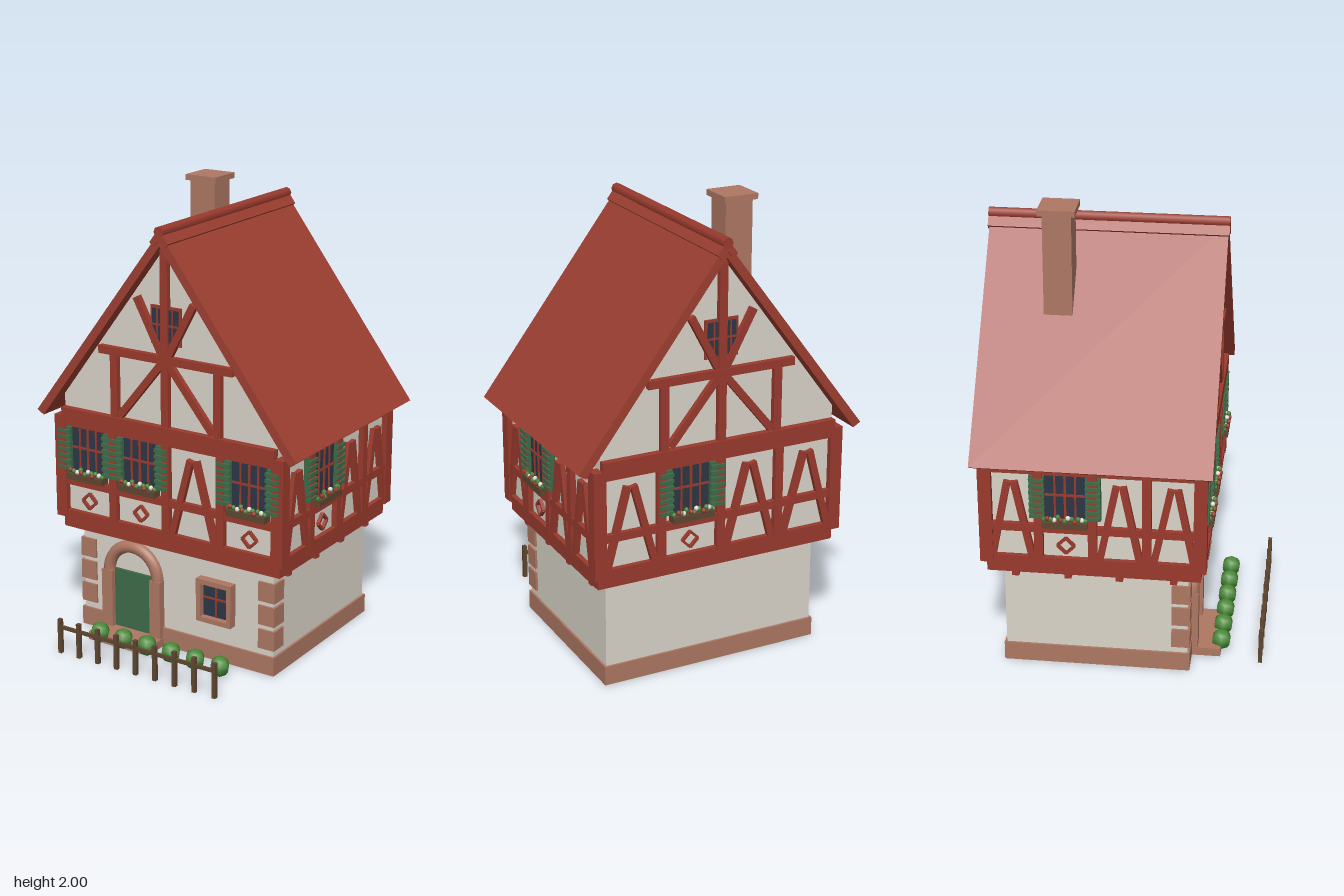
import * as THREE from 'three';

const mat = (name, color) => {
  const m = new THREE.MeshStandardMaterial({ color });
  m.name = name;
  return m;
};

export function createModel() {
  const plaster = mat('plaster', 0xd9d4c9), timber = mat('timber red', 0x9a3a2d);
  const roofRed = mat('roof red', 0x9e3f31), stone = mat('stone', 0xad7762);
  const paint = mat('green paint', 0x3f6b48), glass = mat('dark glass', 0x2c3645);
  const wood = mat('brown wood', 0x5e4630), leaf = mat('leaf green', 0x4a8a38);
  const petal = mat('white petal', 0xe6e0dc);

  const house = new THREE.Group();
  house.name = 'timberFramedHouse';

  const add = (parent, name, geo, m, x = 0, y = 0, z = 0) => {
    const mesh = new THREE.Mesh(geo, m);
    mesh.name = name;
    mesh.position.set(x, y, z);
    parent.add(mesh);
    return mesh;
  };
  // Box given by its lower and upper limits on each axis
  const box = (parent, name, m, x0, x1, y0, y1, z0, z1) =>
    add(parent, name, new THREE.BoxGeometry(x1 - x0, y1 - y0, z1 - z0), m,
      (x0 + x1) / 2, (y0 + y1) / 2, (z0 + z1) / 2);
  // Sloping beam on a wall, from point to point
  const beam = (parent, name, x0, y0, x1, y1, w, d = 0.022) => {
    const b = add(parent, name, new THREE.BoxGeometry(Math.hypot(x1 - x0, y1 - y0), w, d), timber,
      (x0 + x1) / 2, (y0 + y1) / 2, d / 2);
    b.rotation.z = Math.atan2(y1 - y0, x1 - x0);
  };
  const prism = (parent, name, m, pts, z0, z1) => {
    const shape = new THREE.Shape(pts.map(p => new THREE.Vector2(...p)));
    return add(parent, name, new THREE.ExtrudeGeometry(shape, { depth: z1 - z0, bevelEnabled: false }), m, 0, 0, z0);
  };
  const group = (parent, name, x = 0, y = 0, z = 0, turn = 0) => {
    const g = new THREE.Group();
    g.name = name;
    g.position.set(x, y, z);
    g.rotation.y = turn;
    parent.add(g);
    return g;
  };

  // Ground floor with plinth, corner stones and joists
  box(house, 'groundWalls', plaster, -0.495, 0.495, 0.02, 0.49, -0.495, 0.295);
  box(house, 'plinth', stone, -0.505, 0.505, 0, 0.085, -0.505, 0.305);
  for (const s of [-1, 1])
    for (const y of [0.16, 0.27, 0.378])
      add(house, 'cornerStone', new THREE.BoxGeometry(0.08, 0.088, 0.08), stone, s * 0.465, y, 0.265);
  for (const z of [0.235, 0.005, -0.215, -0.44])
    box(house, 'joist', timber, -0.54, 0.54, 0.45, 0.485, z - 0.015, z + 0.015);
  box(house, 'jettyBeam', timber, -0.557, 0.557, 0.48, 0.54, -0.557, 0.352);

  // Arched door with step
  const door = group(house, 'door', -0.22, 0, 0.295);
  box(door, 'doorLeaf', paint, -0.1, 0.1, 0.03, 0.313, 0, 0.012);
  for (const s of [-1, 1])
    add(door, 'doorPost', new THREE.BoxGeometry(0.056, 0.305, 0.05), stone, s * 0.128, 0.1525, 0.01);
  add(door, 'doorArch', new THREE.TorusGeometry(0.128, 0.028, 10, 24, Math.PI), stone, 0, 0.305, 0.008);
  box(door, 'doorStep', stone, -0.16, 0.16, 0, 0.038, 0, 0.135);

  // Ground floor window
  const low = group(house, 'groundWindow', 0.217, 0.28, 0.295);
  box(low, 'windowGlass', glass, -0.07, 0.07, -0.08, 0.08, 0, 0.012);
  for (const s of [-1, 1]) {
    add(low, 'windowJamb', new THREE.BoxGeometry(0.022, 0.196, 0.04), stone, s * 0.077, 0, 0.02);
    add(low, 'windowRail', new THREE.BoxGeometry(0.132, 0.022, 0.04), stone, 0, s * 0.087, 0.02);
  }
  add(low, 'windowBar', new THREE.BoxGeometry(0.008, 0.155, 0.018), timber, 0, 0, 0.009);
  add(low, 'windowBar', new THREE.BoxGeometry(0.135, 0.008, 0.018), timber, 0, 0.01, 0.009);

  // Upper floor and gable walls
  box(house, 'upperWalls', plaster, -0.555, 0.555, 0.535, 1.0, -0.555, 0.35);
  prism(house, 'gableWalls', plaster,
    [[-0.54, 0.99], [0.54, 0.99], [0.54, 1.1], [0, 1.82], [-0.54, 1.1]], -0.555, 0.35);

  const flower = new THREE.SphereGeometry(0.011, 6, 5);
  const shutteredWindow = (parent, x) => {
    const w = group(parent, 'shutteredWindow', x);
    box(w, 'glass', glass, -0.085, 0.085, 0.755, 0.955, 0, 0.009);
    for (const s of [-1, 1]) {
      box(w, 'sash', timber, s * 0.043 - 0.004, s * 0.043 + 0.004, 0.755, 0.955, 0, 0.014);
      box(w, 'shutter', paint, s * 0.118 - 0.032, s * 0.118 + 0.032, 0.757, 0.955, 0, 0.02);
      for (let i = 0; i < 7; i++)
        box(w, 'slat', paint, s * 0.118 - 0.032, s * 0.118 + 0.032, 0.762 + i * 0.028, 0.777 + i * 0.028, 0.01, 0.032);
    }
    box(w, 'mullion', timber, -0.005, 0.005, 0.755, 0.955, 0, 0.015);
    box(w, 'transom', timber, -0.085, 0.085, 0.862, 0.871, 0, 0.015);
    // Flower box
    box(w, 'flowerBox', wood, -0.095, 0.095, 0.725, 0.753, 0, 0.048);
    for (let i = 0; i < 13; i++)
      add(w, 'flower', flower, [leaf, timber, leaf, petal][i % 4],
        -0.087 + i * 0.0145, 0.76 + (i * 5 % 3) * 0.006, 0.03 + (i * 7 % 4) * 0.005);
    // Diamond below
    const d = 0.036, c = 0.625;
    [[d, 0, 0, d], [0, d, -d, 0], [-d, 0, 0, -d], [0, -d, d, 0]].forEach(([a, b, e, f]) =>
      beam(w, 'diamond', a, c + b, e, c + f, 0.011, 0.015));
  };

  // Timber frame of four bays on one wall
  const facade = (name, width, windows, x, z, turn) => {
    const f = group(house, name, x, 0, z, turn);
    const h = width / 2, bay = width / 4;
    for (const [y0, y1] of [[0.535, 0.57], [0.69, 0.725], [0.962, 1.0]])
      box(f, 'rail', timber, -h, h, y0, y1, 0, 0.022);
    for (let i = 1; i < 4; i++)
      box(f, 'post', timber, i * bay - h - 0.019, i * bay - h + 0.019, 0.56, 0.97, 0, 0.025);
    for (let i = 0; i < 4; i++) {
      const c = (i + 0.5) * bay - h;
      if (windows.includes(i)) { shutteredWindow(f, c); continue; }
      for (const s of [-1, 1])
        beam(f, 'brace', c + s * (bay / 2 - 0.028), 0.56, c + s * 0.014, 0.92, 0.03);
    }
    return f;
  };
  const front = facade('frontFrame', 1.1, [0, 1, 3], 0, 0.35, 0);
  const back = facade('backFrame', 1.1, [1], 0, -0.555, Math.PI);
  facade('leftFrame', 0.91, [1], 0.555, -0.1025, Math.PI / 2);
  facade('rightFrame', 0.91, [1], -0.555, -0.1025, -Math.PI / 2);
  // Back window sits in the second bay from the +x corner, as does each side's own
  const sideR = house.getObjectByName('rightFrame');
  house.remove(sideR);
  facade('rightFrame', 0.91, [1], -0.555, -0.1025, -Math.PI / 2);
  for (const sx of [-1, 1])
    for (const z of [0.348, -0.553])
      add(house, 'cornerPost', new THREE.BoxGeometry(0.056, 0.47, 0.056), timber, sx * 0.553, 0.77, z);

  // Gable timbers with attic window
  for (const f of [front, back]) {
    const g = group(f, 'gableFrame');
    box(g, 'tieBeam', timber, -0.54, 0.54, 0.99, 1.045, 0, 0.03);
    box(g, 'collarBeam', timber, -0.336, 0.336, 1.32, 1.355, 0, 0.026);
    box(g, 'kingPost', timber, -0.018, 0.018, 1.04, 1.82, 0, 0.024);
    box(g, 'atticFrame', timber, -0.076, 0.076, 1.4, 1.565, 0, 0.008);
    box(g, 'atticGlass', glass, -0.064, 0.064, 1.412, 1.553, 0, 0.014);
    box(g, 'atticBar', timber, -0.064, 0.064, 1.482, 1.49, 0, 0.018);
    for (const s of [-1, 1]) {
      box(g, 'gablePost', timber, s * 0.26 - 0.018, s * 0.26 + 0.018, 1.04, 1.325, 0, 0.024);
      box(g, 'atticBar', timber, s * 0.038 - 0.003, s * 0.038 + 0.003, 1.412, 1.553, 0, 0.018);
      beam(g, 'kneeBrace', s * 0.235, 1.055, s * 0.005, 1.335, 0.032);
      beam(g, 'upperBrace', s * 0.005, 1.335, s * 0.142, 1.59, 0.032);
    }
  }

  // Roof with ridge capping
  prism(house, 'roof', roofRed,
    [[0, 1.885], [-0.655, 1.02], [-0.622, 1.0], [0, 1.825], [0.622, 1.0], [0.655, 1.02]], -0.6, 0.4);
  prism(house, 'ridgeCap', roofRed,
    [[0, 1.9], [-0.045, 1.84], [-0.028, 1.82], [0, 1.85], [0.028, 1.82], [0.045, 1.84]], -0.606, 0.405);
  const rod = add(house, 'ridgeRod', new THREE.CylinderGeometry(0.024, 0.024, 1.011, 8), timber, 0, 1.884, -0.1005);
  rod.rotation.x = Math.PI / 2;

  // Chimney
  box(house, 'chimney', stone, -0.26, -0.135, 1.45, 1.98, -0.34, -0.22);
  box(house, 'chimneyCap', stone, -0.275, -0.12, 1.975, 2.0, -0.358, -0.203);

  // Bushes and fence
  for (let i = 0; i < 6; i++)
    add(house, 'bush', new THREE.SphereGeometry(0.045, 6, 8), leaf, -0.317 + i * 0.126, 0.05, 0.43);
  for (let i = 0; i < 9; i++)
    add(house, 'fencePost', new THREE.BoxGeometry(0.018, 0.16, 0.018), wood, -0.4 + i * 0.1, 0.08, 0.606);
  box(house, 'fenceRail', wood, -0.4, 0.4, 0.115, 0.13, 0.6, 0.612);
  return house;
}
